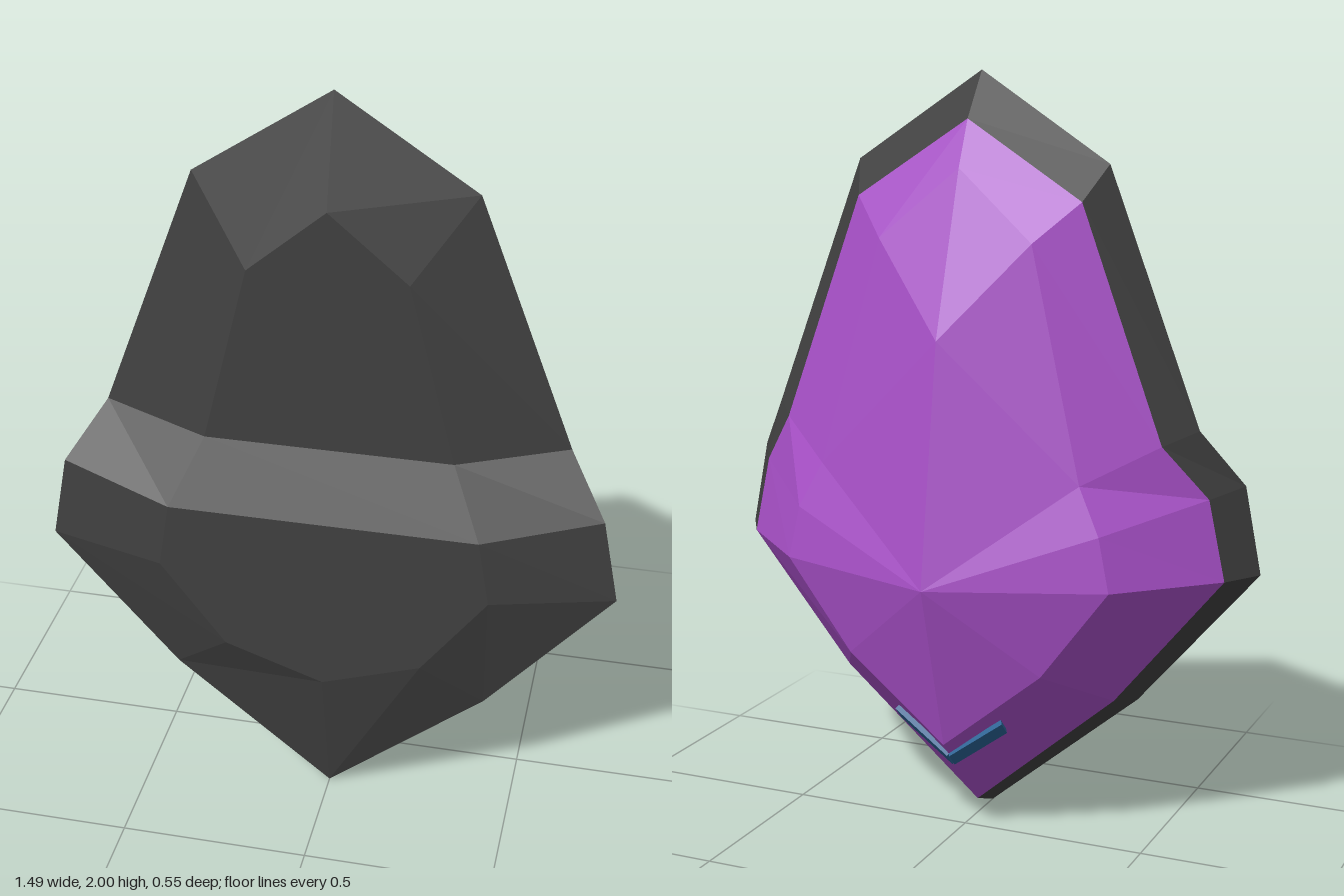
import * as THREE from 'three';

// Half outlines (x, y, z) from top centre down the +x side to bottom centre
const FRONT = [[0, 1.73, 0.19], [0.2, 1.56, 0.19], [0.32, 1.08, 0.19], [0.4, 0.91, 0.275],
  [0.43, 0.73, 0.275], [0.26, 0.5, 0.275], [0, 0.41, 0.275]];
const RIM = [[0, 2, 0.105], [0.35, 1.77, 0.105], [0.6, 1.11, 0.105], [0.7, 0.96, 0.19],
  [0.745, 0.73, 0.19], [0.42, 0.35, 0.19], [0, 0, 0.19]];
const SEAM = [[0, 1.88, 0.015], [0.31, 1.68, 0.015], [0.53, 1.08, 0.015], [0.635, 0.94, 0.085],
  [0.68, 0.73, 0.085], [0.39, 0.375, 0.085], [0, 0.04, 0.085]];
const BACK = [[0, 1.76, -0.04], [0.21, 1.58, -0.07], [0.36, 0.99, -0.115], [0.42, 0.87, -0.135],
  [0.45, 0.73, -0.14], [0.27, 0.49, -0.14], [0, 0.27, -0.14]];
const RIDGE_TOP = [0, 1.34, -0.18];
const RIDGE_PEAK = [0, 0.72, -0.275];

// Mirror a half outline into a closed ring of 12 points
const ring = (half) => [...half, ...half.slice(1, -1).reverse().map(([x, y, z]) => [-x, y, z])];

// Triangles joining two rings, a lying in front of b
function strip(a, b) {
  const tris = [];
  for (let i = 0; i < a.length; i++) {
    const j = (i + 1) % a.length;
    tris.push([a[i], b[j], b[i]], [a[i], a[j], b[j]]);
  }
  return tris;
}

// Front plate, closed row by row between the two mirrored sides
function frontCap(r) {
  const tris = [];
  for (let i = 0; i < 6; i++) {
    const m = r[(12 - i) % 12], n = r[11 - i];
    if (i < 5) tris.push([m, n, r[i + 1]]);
    if (i > 0) tris.push([m, r[i + 1], r[i]]);
  }
  return tris;
}

// Back plates, rising to the central ridge
function backCap(r) {
  const tris = r.map((p, i) => [p, r[(i + 1) % 12], i < 2 || i > 9 ? RIDGE_TOP : RIDGE_PEAK]);
  tris.push([r[2], RIDGE_PEAK, RIDGE_TOP], [r[10], RIDGE_TOP, RIDGE_PEAK]);
  return tris;
}

function facetedMesh(name, tris, color) {
  const geometry = new THREE.BufferGeometry();
  geometry.setAttribute('position', new THREE.Float32BufferAttribute(tris.flat(2), 3));
  geometry.computeVertexNormals();
  const mesh = new THREE.Mesh(geometry, new THREE.MeshStandardMaterial({ color, flatShading: true }));
  mesh.name = name;
  return mesh;
}

export function createModel() {
  const group = new THREE.Group();
  group.name = 'facetedShell';
  const [front, rim, seam, back] = [FRONT, RIM, SEAM, BACK].map(ring);

  // Dark front plate with its bevel and rim
  group.add(facetedMesh('darkFrontPlate',
    [...frontCap(front), ...strip(front, rim), ...strip(rim, seam)], 0x404040));

  // Purple domed back
  group.add(facetedMesh('purpleBackShell', [...strip(seam, back), ...backCap(back)], 0xa850c8));

  // Blue V-shaped mark low on the back, one slanted bar per side
  const blue = new THREE.MeshStandardMaterial({ color: 0x2a6496, flatShading: true });
  for (const side of [1, -1]) {
    const along = new THREE.Vector3(0.15 * side, 0.11, 0);
    const across = new THREE.Vector3(0, 0.035, -0.035);
    const depth = along.clone().cross(across).setLength(0.014);
    const bar = new THREE.BoxGeometry(1, 1, 1);
    bar.applyMatrix4(new THREE.Matrix4().makeBasis(along, across, depth).setPosition(0.075 * side, 0.271, -0.089));
    const mesh = new THREE.Mesh(bar, blue);
    mesh.name = side > 0 ? 'leftBlueBar' : 'rightBlueBar';
    group.add(mesh);
  }
  return group;
}
